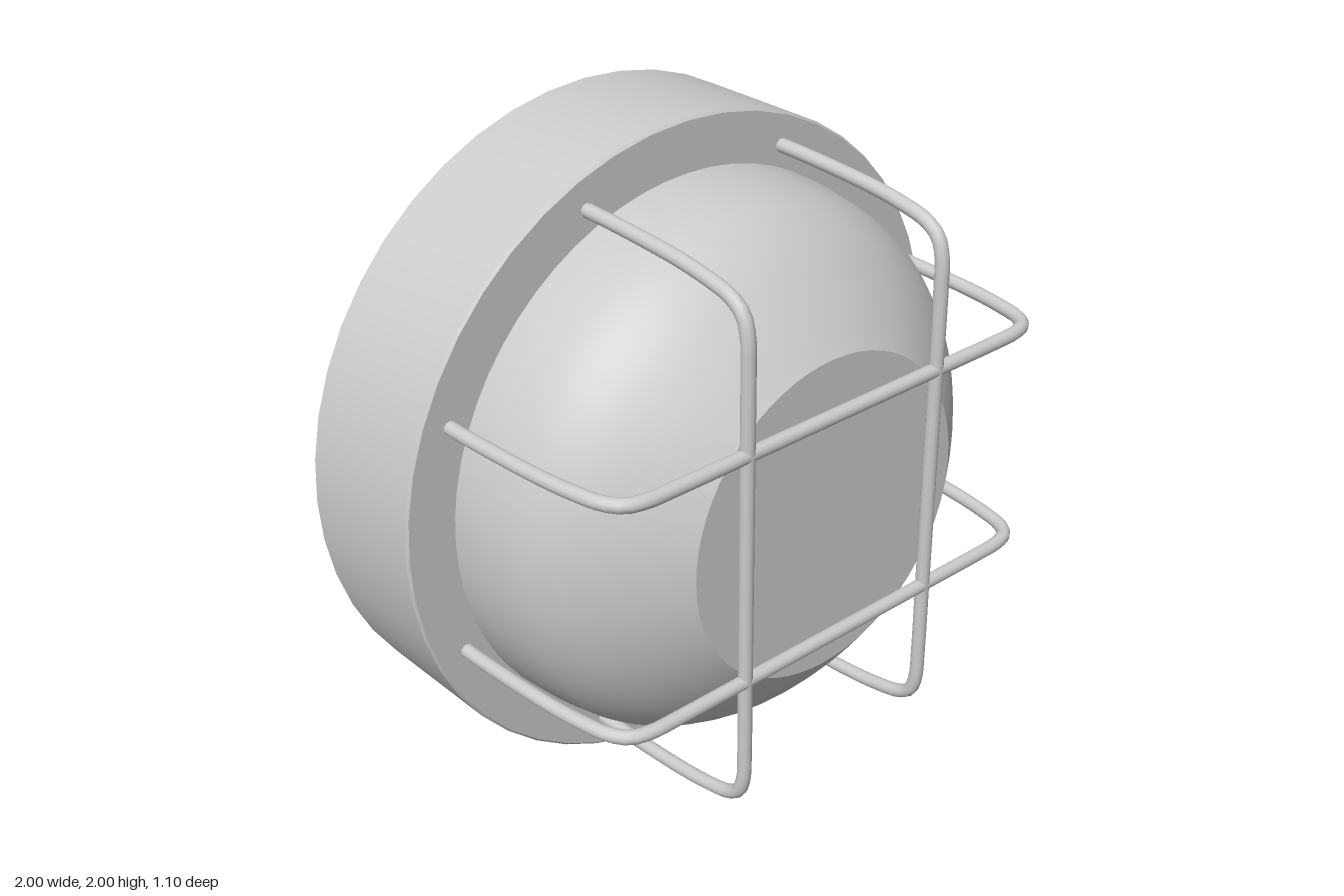
import * as THREE from 'three';
import { toCreasedNormals } from 'three/addons/utils/BufferGeometryUtils.js';

const material = new THREE.MeshStandardMaterial({ color: 0xcccccc });

// Solid of revolution around z; profile points are [radius, z] from back to front
function turned(name, profile, segments, crease) {
  const points = profile.map(([r, z]) => new THREE.Vector2(r, z));
  const geometry = new THREE.LatheGeometry(points, segments).rotateX(Math.PI / 2);
  const mesh = new THREE.Mesh(toCreasedNormals(geometry, crease), material);
  mesh.name = name;
  return mesh;
}

// Half of a guard wire as [offset from centre, z], from the base to the front
const wireHalf = [
  [0.833, -0.14], [0.832, -0.05], [0.826, 0.1], [0.814, 0.27], [0.798, 0.38],
  [0.778, 0.46], [0.745, 0.505], [0.69, 0.523], [0.6, 0.526], [0.3, 0.526],
];

function createWireGeometry() {
  const left = wireHalf.map(([x, z]) => new THREE.Vector3(x, 0, z));
  const right = wireHalf.map(([x, z]) => new THREE.Vector3(-x, 0, z)).reverse();
  const path = new THREE.CatmullRomCurve3([...left, ...right], false, 'centripetal');
  return new THREE.TubeGeometry(path, 96, 0.021, 12);
}

export function createModel() {
  const model = new THREE.Group();
  model.name = 'bulkheadLamp';

  // Round wall base with a fine bevel on both rims
  model.add(turned('base', [
    [0, -0.55], [0.993, -0.55], [1, -0.543], [1, -0.107], [0.993, -0.1], [0, -0.1],
  ], 48, 0.6));

  // Domed cover with a flat front
  const shoulder = new THREE.SplineCurve([
    [0.843, -0.1], [0.836, 0.0], [0.812, 0.13], [0.765, 0.225],
    [0.7, 0.305], [0.6, 0.395], [0.49, 0.478],
  ].map(([r, z]) => new THREE.Vector2(r, z)));
  const domeProfile = shoulder.getPoints(24).map((p) => [p.x, p.y]);
  model.add(turned('domeCover', [[0.843, -0.12], ...domeProfile, [0, 0.478]], 64, 0.5));

  // Guard cage: two horizontal and two vertical bent wires
  const cage = new THREE.Group();
  cage.name = 'guardCage';
  const wireGeometry = createWireGeometry();
  for (const side of [-1, 1]) {
    const horizontal = new THREE.Mesh(wireGeometry, material);
    horizontal.name = side > 0 ? 'upperWire' : 'lowerWire';
    horizontal.position.y = side * 0.355;
    const vertical = new THREE.Mesh(wireGeometry, material);
    vertical.name = side > 0 ? 'leftWire' : 'rightWire';
    vertical.rotation.z = Math.PI / 2;
    vertical.position.x = side * 0.355;
    cage.add(horizontal, vertical);
  }
  model.add(cage);

  for (const part of model.children) part.position.y = 1;
  return model;
}
